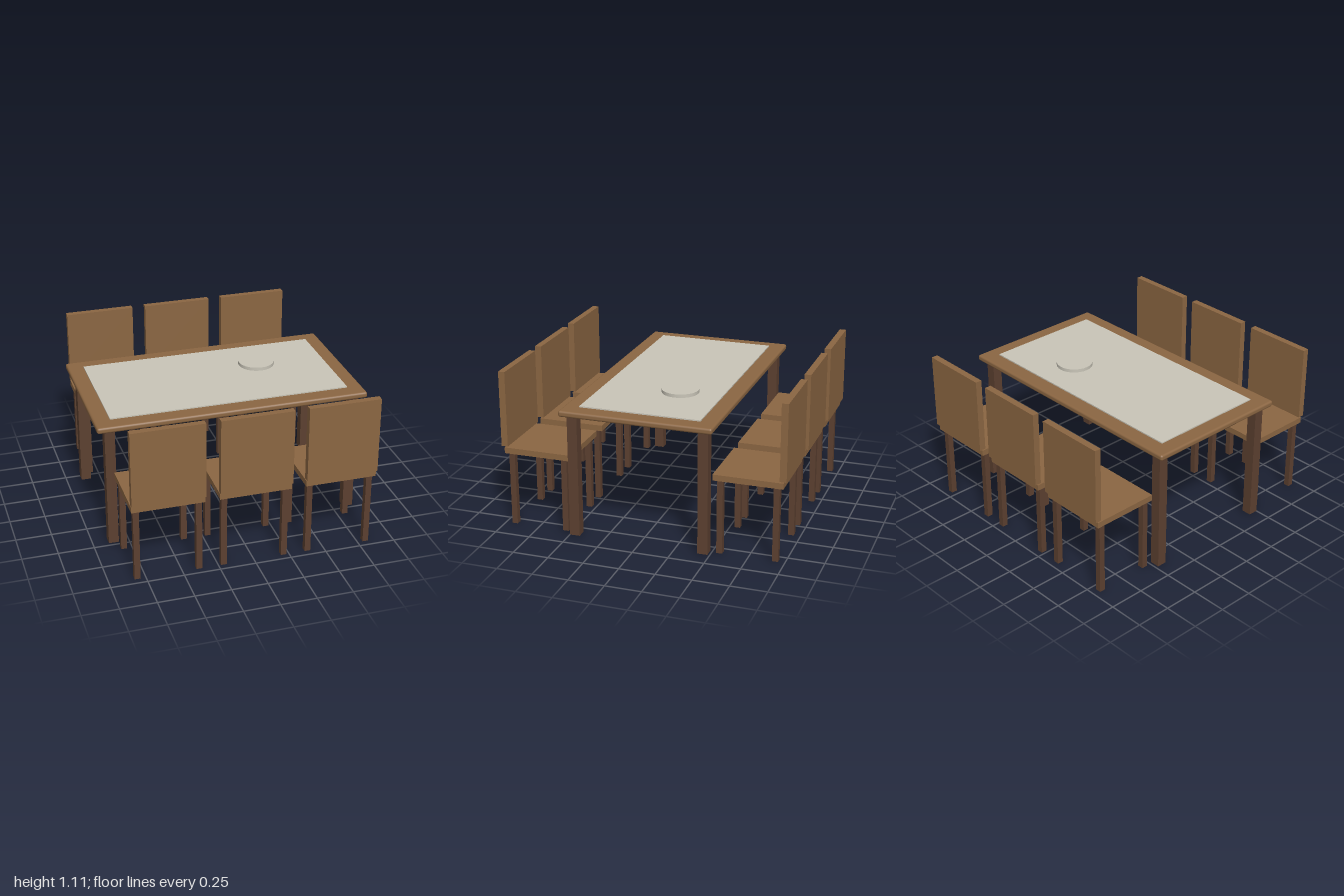
import * as THREE from 'three';
import { RoundedBoxGeometry } from 'three/addons/geometries/RoundedBoxGeometry.js';

const wood = new THREE.MeshStandardMaterial({ name: 'warm wood', color: 0x8b6642 });
const darkWood = new THREE.MeshStandardMaterial({ name: 'dark wood', color: 0x5c4030 });
const linen = new THREE.MeshStandardMaterial({ name: 'linen', color: 0xc9c5b8 });

function add(parent, name, geometry, material, x, y, z) {
  const mesh = new THREE.Mesh(geometry, material);
  mesh.name = name;
  mesh.position.set(x, y, z);
  parent.add(mesh);
  return mesh;
}

// Box given by its centre in x and z and its bottom and top heights
function addBox(parent, name, material, w, d, x, z, bottom, top) {
  return add(parent, name, new THREE.BoxGeometry(w, top - bottom, d), material, x, (bottom + top) / 2, z);
}

function createTable() {
  const table = new THREE.Group();
  table.name = 'table';
  // Top with softly rounded edges
  add(table, 'tableTop', new RoundedBoxGeometry(1.9, 0.043, 1.06, 2, 0.015), wood, 0, 0.901, 0);
  for (const sx of [-1, 1]) {
    for (const sz of [-1, 1]) {
      addBox(table, 'tableLeg', darkWood, 0.07, 0.07, sx * 0.86, sz * 0.455, 0.01, 0.882);
    }
  }
  // Cloth and round plate lying on the top
  addBox(table, 'tableCloth', linen, 1.68, 0.84, 0, 0, 0.921, 0.931);
  add(table, 'plate', new THREE.CylinderGeometry(0.128, 0.128, 0.024, 32), linen, 0.355, 0.943, -0.122);
  return table;
}

// Chair on the front side of the table, its back towards +z
function createChair() {
  const chair = new THREE.Group();
  chair.name = 'chair';
  addBox(chair, 'seat', wood, 0.495, 0.475, 0, 0.7415, 0.525, 0.567);
  addBox(chair, 'backrest', wood, 0.497, 0.046, 0, 0.977, 0.576, 1.11);
  for (const x of [-0.212, 0.212]) {
    for (const z of [0.551, 0.933]) {
      addBox(chair, 'chairLeg', darkWood, 0.041, 0.041, x, z, 0, 0.526);
    }
  }
  return chair;
}

export function createModel() {
  const model = new THREE.Group();
  model.name = 'diningSet';
  model.add(createTable());
  // Three chairs along each long side
  for (const turn of [0, Math.PI]) {
    for (const x of [-0.595, 0, 0.595]) {
      const chair = createChair();
      chair.position.x = x;
      chair.rotation.y = turn;
      model.add(chair);
    }
  }
  return model;
}
